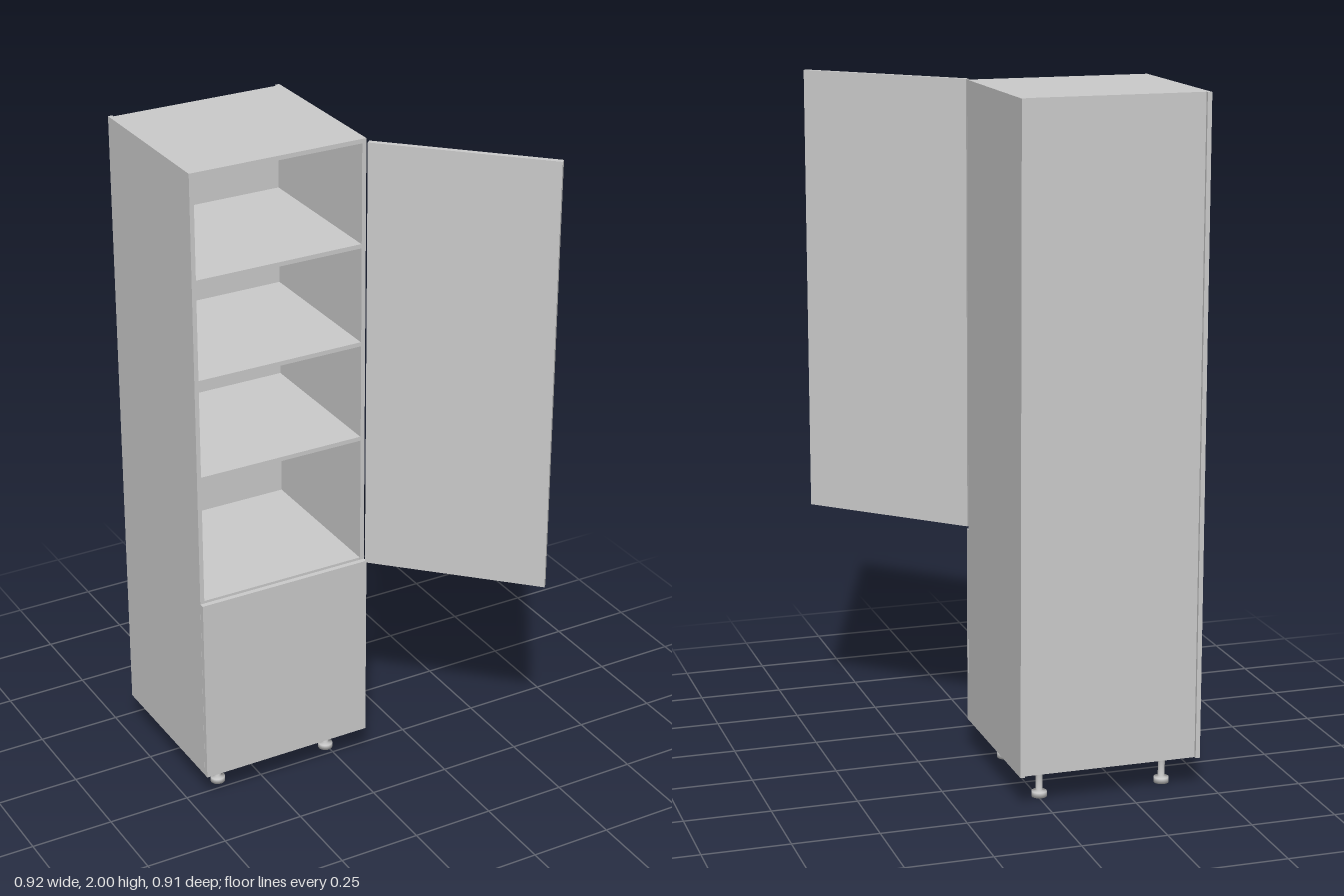
import * as THREE from 'three';

export function createModel() {
  const model = new THREE.Group();
  const grey = new THREE.MeshStandardMaterial({ color: 0xcccccc });

  // Axis-aligned panel given by its limits on each axis
  function panel(name, [x0, x1], [y0, y1], [z0, z1]) {
    const mesh = new THREE.Mesh(new THREE.BoxGeometry(x1 - x0, y1 - y0, z1 - z0), grey);
    mesh.position.set((x0 + x1) / 2, (y0 + y1) / 2, (z0 + z1) / 2);
    mesh.name = name;
    model.add(mesh);
    return mesh;
  }

  const left = 0.08, right = -0.46, bottom = 0.096, top = 2;
  const back = -0.455, front = 0.045, t = 0.013;
  const inner = [right + t, left - t];

  // Carcass
  panel('rightSide', [right, right + t], [bottom, top], [back, front]);
  panel('leftSide', [left - t, left], [bottom, top], [back, front]);
  panel('topPanel', inner, [top - t, top], [back + 0.009, front]);
  panel('bottomPanel', inner, [bottom, bottom + t], [back + 0.009, front]);
  panel('backPanel', inner, [bottom + t, top - t], [back + 0.009, back + 0.014]);

  // Shelves, the lowest one closing the lower compartment
  for (const y of [0.69, 1.09, 1.39, 1.69]) {
    panel('shelf', inner, [y - t, y], [back + 0.014, front - 0.002]);
  }

  // Closed lower door
  panel('lowerDoor', [right, left], [bottom, 0.684], [front + 0.001, 0.061]);

  // Upper door, swung open by 135 degrees about its hinge edge
  const width = 0.537, thick = 0.016;
  const hinge = new THREE.Group();
  hinge.name = 'upperDoorHinge';
  hinge.position.set(0.066, 0, 0.076);
  hinge.rotation.y = -Math.PI / 4;
  const door = new THREE.Mesh(new THREE.BoxGeometry(width, top - 0.69, thick), grey);
  door.name = 'upperDoor';
  door.position.set(width / 2, (top + 0.69) / 2, -thick / 2);
  hinge.add(door);
  model.add(hinge);

  // Adjustable feet: base disc, stem and mounting flange in one profile
  const profile = [
    [0, 0], [0.022, 0], [0.022, 0.016], [0.01, 0.02],
    [0.01, 0.08], [0.022, 0.083], [0.022, bottom], [0, bottom],
  ].map(([r, y]) => new THREE.Vector2(r, y));
  const footGeometry = new THREE.LatheGeometry(profile, 20);
  for (const x of [-0.377, -0.005]) {
    for (const z of [-0.365, -0.038]) {
      const foot = new THREE.Mesh(footGeometry, grey);
      foot.name = 'foot';
      foot.position.set(x, 0, z);
      model.add(foot);
    }
  }

  return model;
}
